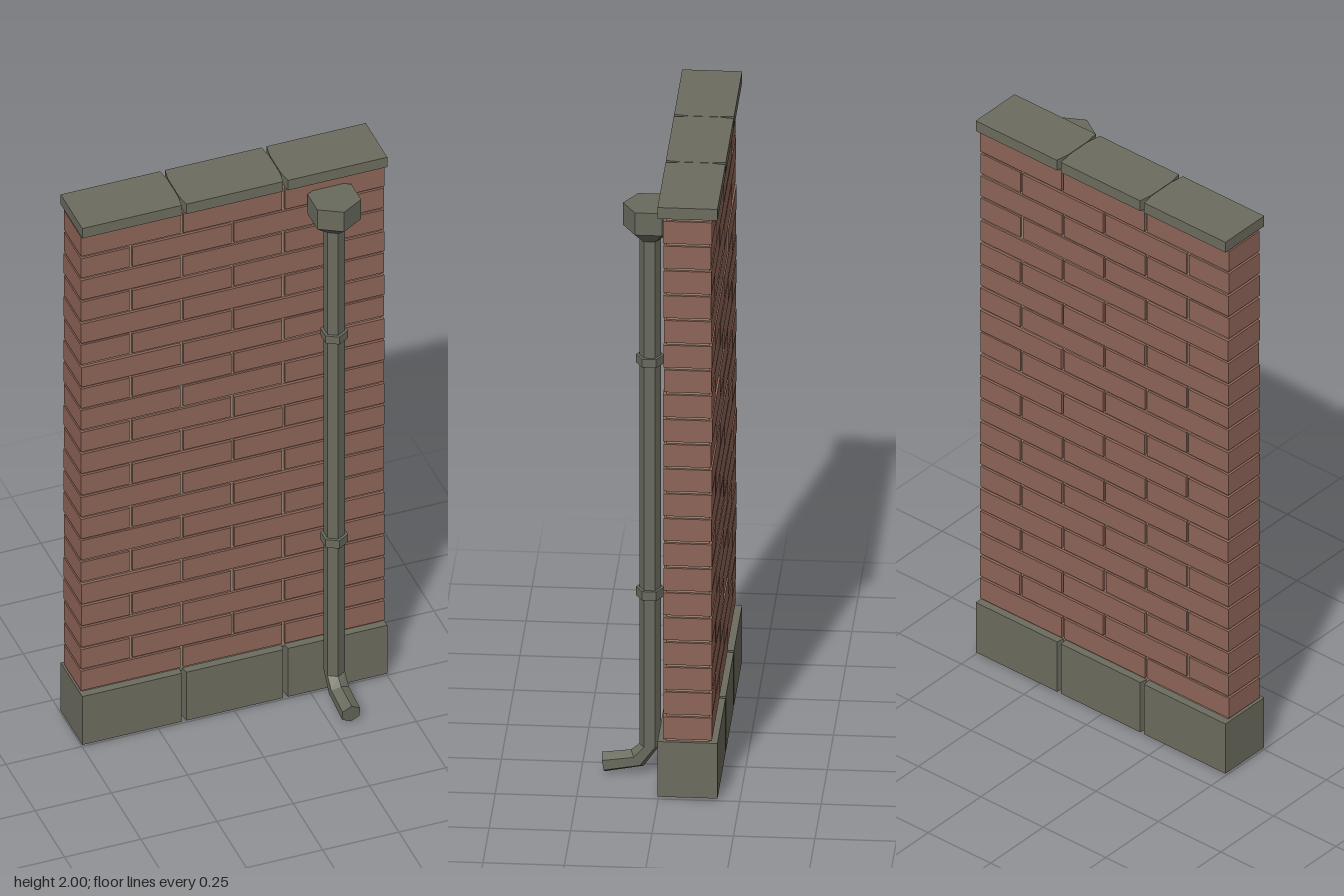
import * as THREE from 'three';

const mat = (name, color) => {
  const m = new THREE.MeshStandardMaterial({ color });
  m.name = name;
  return m;
};

export function createModel() {
  const model = new THREE.Group();
  model.name = 'brickWall';
  const brick = mat('brick red', 0x8f6558);
  const stone = mat('grey stone', 0x6c6c5f);
  const mortar = mat('mortar', 0x9a8672);
  const metal = mat('pipe grey', 0x6a6b5e);

  const add = (parent, name, geometry, material, x = 0, y = 0, z = 0) => {
    const mesh = new THREE.Mesh(geometry, material);
    mesh.name = name;
    mesh.position.set(x, y, z);
    parent.add(mesh);
    return mesh;
  };
  const group = (name) => {
    const g = new THREE.Group();
    g.name = name;
    model.add(g);
    return g;
  };

  let seed = 7;
  const jitter = (amount) => {
    seed = (seed * 16807) % 2147483647;
    return (seed / 2147483647 - 0.5) * 2 * amount;
  };

  // Mortar core, slightly recessed behind the bricks
  const midZ = -0.09;
  add(model, 'mortarCore', new THREE.BoxGeometry(0.978, 1.78, 0.132), mortar, 0, 1.077, midZ);

  // Brick courses in running bond
  const bricks = group('bricks');
  const courses = 21, bottom = 0.2, pitch = 1.757 / courses, gap = 0.009;
  for (let row = 0; row < courses; row++) {
    const joints = row % 2 ? [-0.5, -1 / 3, 0, 1 / 3, 0.5] : [-0.5, -1 / 6, 1 / 6, 0.5];
    for (let i = 0; i < joints.length - 1; i++) {
      const x0 = joints[i] + (i ? gap / 2 : 0.003);
      const x1 = joints[i + 1] - (i < joints.length - 2 ? gap / 2 : 0.003);
      const depth = 0.148 + jitter(0.003);
      add(bricks, 'brick', new THREE.BoxGeometry(x1 - x0, pitch - gap, depth), brick,
        (x0 + x1) / 2, bottom + (row + 0.5) * pitch, midZ + jitter(0.001));
    }
  }

  // Stone blocks whose joints open into narrow notches at front and back
  const stoneRow = (name, y0, y1) => {
    const g = group(name + 's');
    for (let i = -1; i <= 1; i++) {
      const half = 1 / 6, d = 0.092, n = 0.045;
      const left = i > -1 ? 0.008 : 0, right = i < 1 ? 0.008 : 0;
      const shape = new THREE.Shape([
        [-half + left, -d], [half - right, -d], [half - right / 8, -d + n],
        [half - right / 8, d - n], [half - right, d], [-half + left, d],
        [-half + left / 8, d - n], [-half + left / 8, -d + n],
      ].map(([x, y]) => new THREE.Vector2(x, y)));
      const geo = new THREE.ExtrudeGeometry(shape, { depth: y1 - y0, bevelEnabled: false });
      geo.rotateX(-Math.PI / 2);
      add(g, name, geo, stone, i / 3, y0, midZ);
    }
  };
  stoneRow('baseStone', 0.01, 0.196);
  stoneRow('capStone', 1.962, 2);

  // Hexagonal downpipe with a corner facing forward
  const pipe = group('downpipe');
  const px = 0.312, pz = 0.039, r = 0.033;
  const hex = (name, top, low, y0, y1) =>
    add(pipe, name, new THREE.CylinderGeometry(top, low, y1 - y0, 6).toNonIndexed(), metal, px, (y0 + y1) / 2, pz)
      .geometry.computeVertexNormals();
  hex('pipeShaft', r, r, 0.1, 1.82);
  hex('lowerCollar', 0.043, 0.043, 0.6, 0.63);
  hex('upperCollar', 0.043, 0.043, 1.387, 1.415);
  hex('hopperFunnel', 0.083, 0.037, 1.81, 1.85);
  hex('hopperBox', 0.083, 0.083, 1.85, 1.925);

  // Outlet bend: hexagonal sections [y, z, tilt] swept forward from the shaft
  const sections = [[0.1, pz, 0], [0.052, 0.078, 0.95], [0.035, 0.182, 1.42]];
  const ring = ([y, z, t]) => Array.from({ length: 6 }, (_, k) => {
    const a = (k * Math.PI) / 3, c = r * Math.cos(a);
    return [px + r * Math.sin(a), y + c * Math.sin(t), z + c * Math.cos(t)];
  });
  const rings = sections.map(ring);
  const pos = [];
  for (let s = 0; s < 2; s++) {
    for (let k = 0; k < 6; k++) {
      const n = (k + 1) % 6;
      const a = rings[s][k], b = rings[s][n], c = rings[s + 1][k], d = rings[s + 1][n];
      pos.push(...a, ...c, ...b, ...b, ...c, ...d);
    }
  }
  for (let k = 1; k < 5; k++) pos.push(...rings[2][0], ...rings[2][k + 1], ...rings[2][k]);
  const bend = new THREE.BufferGeometry();
  bend.setAttribute('position', new THREE.Float32BufferAttribute(pos, 3));
  bend.computeVertexNormals();
  add(pipe, 'outletBend', bend, metal);

  return model;
}
